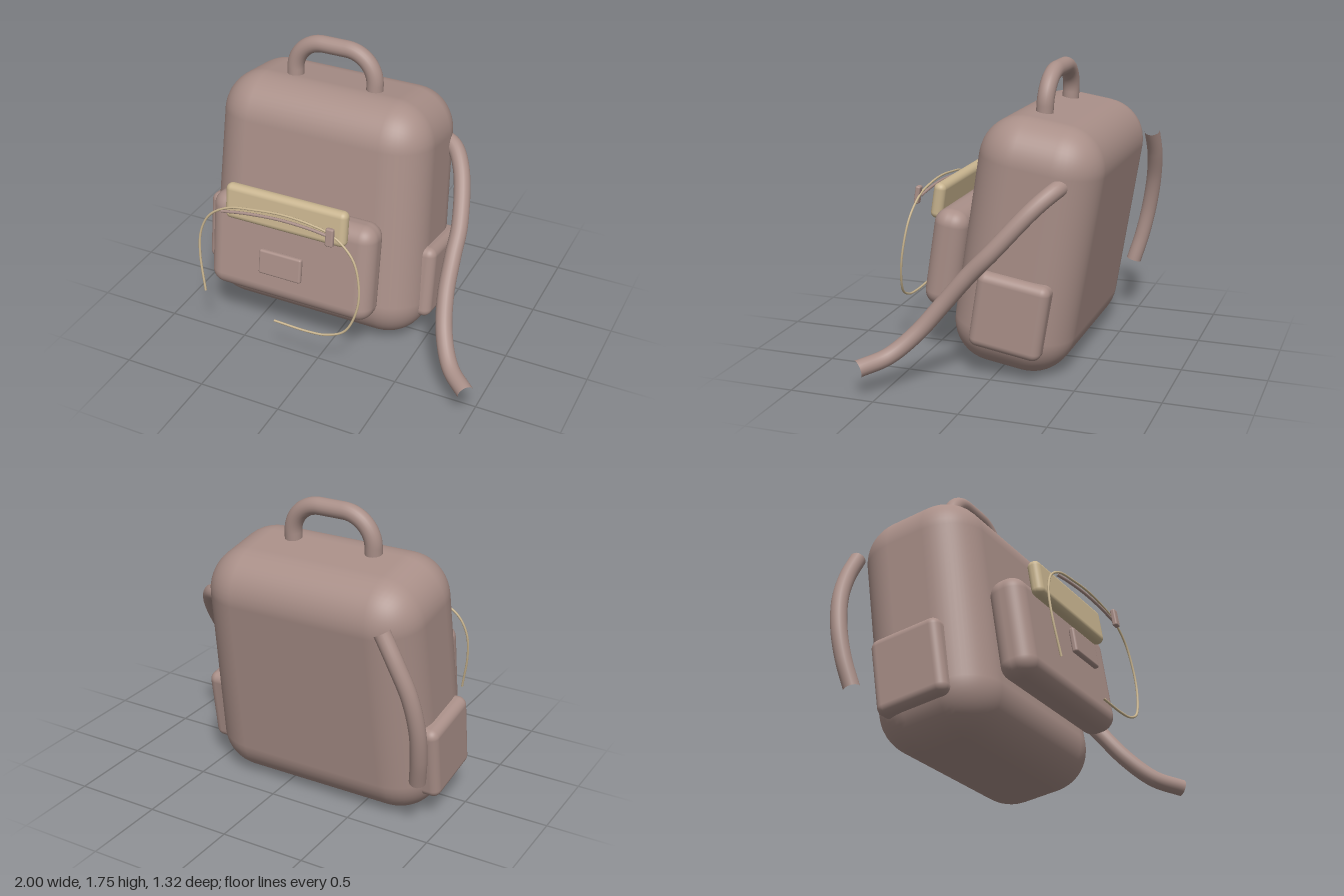
import * as THREE from 'three';
import { RoundedBoxGeometry } from 'three/addons/geometries/RoundedBoxGeometry.js';

export function createModel() {
  const model = new THREE.Group();
  model.name = 'backpack';
  const TILT = -0.155; // the whole bag leans back

  const fabric = new THREE.MeshStandardMaterial({ color: 0xa98f88 });
  fabric.name = 'mauve fabric';
  const tan = new THREE.MeshStandardMaterial({ color: 0xc8b48f });
  tan.name = 'tan trim';

  function add(name, geometry, material) {
    const mesh = new THREE.Mesh(geometry, material);
    mesh.name = name;
    model.add(mesh);
    return mesh;
  }

  // Padded block leaning with the bag
  function pad(name, size, radius, pos, material = fabric) {
    const mesh = add(name, new RoundedBoxGeometry(...size, 6, radius), material);
    mesh.position.set(...pos);
    mesh.rotation.x = TILT;
    return mesh;
  }

  // Open-ended tube through a few points
  function cord(name, points, radius, material = fabric, steps = 64, sides = 20) {
    const curve = new THREE.CatmullRomCurve3(points.map((p) => new THREE.Vector3(...p)));
    return add(name, new THREE.TubeGeometry(curve, steps, radius, sides), material);
  }

  // Main bag, slightly wider towards the bottom
  const body = pad('body', [1.366, 1.466, 0.727], 0.25, [-0.205, 0.745, -0.142]);
  const p = body.geometry.attributes.position;
  for (let i = 0; i < p.count; i++) {
    const y = p.getY(i);
    p.setX(i, p.getX(i) * (1 - 0.057 * y));
    p.setZ(i, p.getZ(i) * (1 + 0.02 * y));
  }

  // Pockets
  pad('frontPocket', [1.045, 0.6, 0.21], 0.09, [-0.207, 0.615, 0.36]);
  pad('leftSidePocket', [0.2, 0.45, 0.43], 0.05, [0.445, 0.397, -0.115]);
  pad('rightSidePocket', [0.2, 0.45, 0.43], 0.05, [-0.86, 0.397, -0.115]);

  // Front flap, patch and zip pull
  pad('flap', [0.77, 0.215, 0.075], 0.035, [-0.21, 0.93, 0.447], tan);
  pad('patch', [0.27, 0.152, 0.034], 0.013, [-0.205, 0.637, 0.546]);
  pad('zipPull', [0.048, 0.108, 0.03], 0.01, [0.131, 0.953, 0.583]);

  // Carry handle: two legs joined by rounded bends
  const handlePath = new THREE.CurvePath();
  const v = (x, y) => new THREE.Vector3(x, y, -0.172 - (y - 1.45) * 0.06);
  const [x0, x1, yTop, bend] = [-0.462, 0.048, 1.698, 0.18];
  const k = bend * 0.448;
  handlePath.add(new THREE.LineCurve3(v(x0, 1.42), v(x0, yTop - bend)));
  handlePath.add(new THREE.CubicBezierCurve3(v(x0, yTop - bend), v(x0, yTop - k), v(x0 + k, yTop), v(x0 + bend, yTop)));
  handlePath.add(new THREE.LineCurve3(v(x0 + bend, yTop), v(x1 - bend, yTop)));
  handlePath.add(new THREE.CubicBezierCurve3(v(x1 - bend, yTop), v(x1 - k, yTop), v(x1, yTop - k), v(x1, yTop - bend)));
  handlePath.add(new THREE.LineCurve3(v(x1, yTop - bend), v(x1, 1.42)));
  add('handle', new THREE.TubeGeometry(handlePath, 64, 0.05, 20), fabric);

  // Shoulder straps, hanging loose
  cord('leftStrap', [
    [0.36, 1.15, -0.4], [0.47, 1.13, -0.365], [0.56, 1.04, -0.27], [0.645, 0.8, -0.06],
    [0.66, 0.66, 0.07], [0.68, 0.49, 0.21], [0.735, 0.32, 0.35],
    [0.83, 0.205, 0.48], [0.97, 0.168, 0.6],
  ], 0.049);
  cord('rightStrap', [
    [-0.755, 1.245, -0.615], [-0.84, 1.09, -0.617], [-0.915, 0.91, -0.598],
    [-0.95, 0.71, -0.565], [-0.945, 0.52, -0.525], [-0.92, 0.35, -0.478],
  ], 0.047);

  // Thin draw cord lying on a leaning plane
  const onPlane = ([x, y]) => [x, y, 0.56 + 0.134 * (1.006 - y)];
  cord('drawCord', [
    [-0.66, 0.385], [-0.7, 0.62], [-0.695, 0.765], [-0.64, 0.88], [-0.52, 0.955],
    [-0.35, 0.985], [-0.17, 1.0], [0.0, 0.988], [0.14, 0.955], [0.265, 0.85],
    [0.315, 0.7], [0.315, 0.55], [0.25, 0.39], [0.14, 0.33], [0.02, 0.315], [-0.2, 0.32],
  ].map(onPlane), 0.007, tan, 120, 8);

  // Seam cord below it, ending at the zip pull
  cord('seamCord', [
    [-0.56, 0.925], [-0.4, 0.95], [-0.19, 0.966], [0.0, 0.96], [0.13, 0.945],
  ].map(onPlane), 0.009, fabric, 40, 8);

  return model;
}
